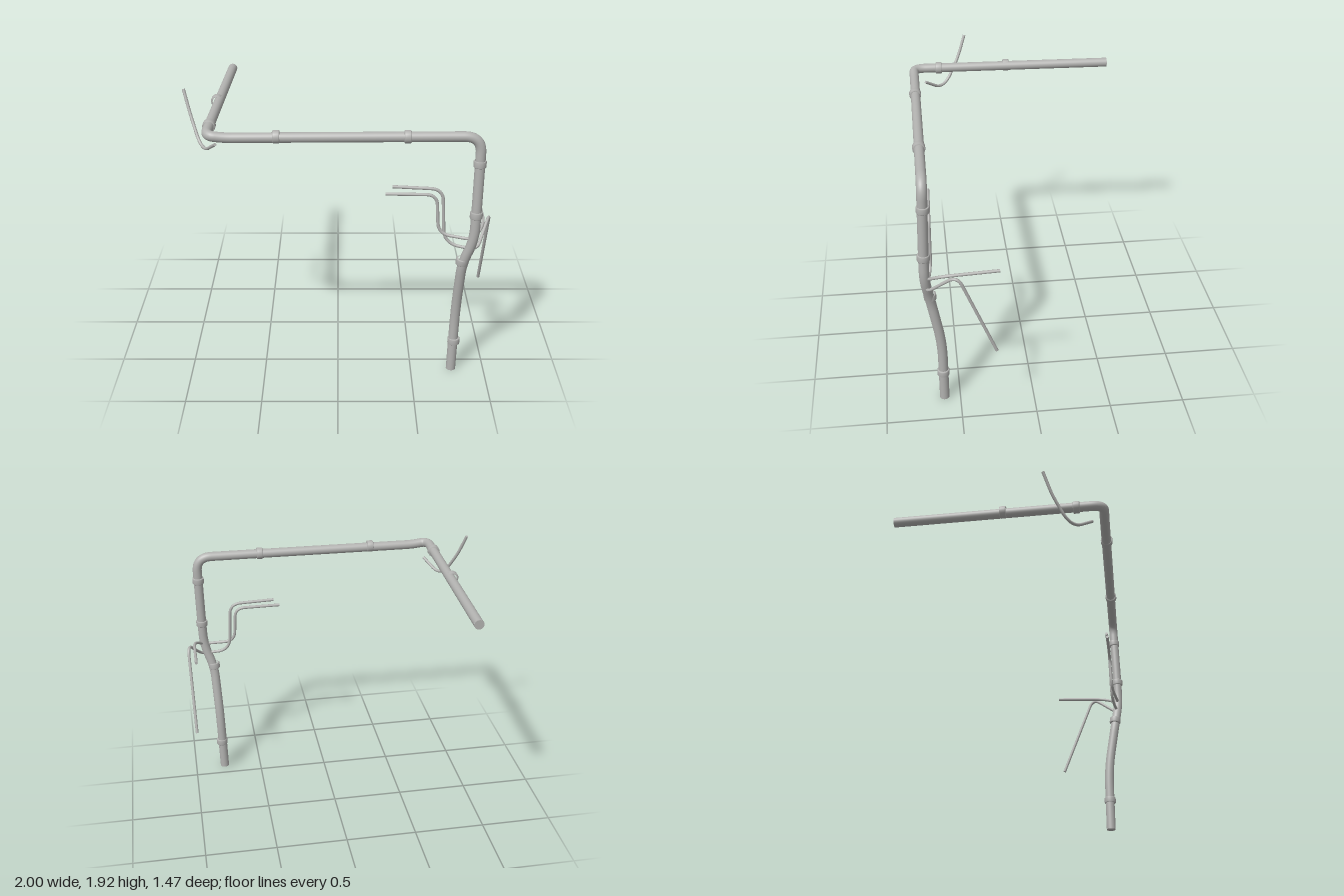
import * as THREE from 'three';

const metal = new THREE.MeshStandardMaterial({ color: 0xb2b2b0 });
metal.name = 'grey metal';

// Polyline [x, y, z, fillet] with rounded corners
function roundedPath(points) {
  const path = new THREE.CurvePath();
  const v = points.map(p => new THREE.Vector3(p[0], p[1], p[2]));
  let last = v[0];
  for (let i = 1; i < v.length - 1; i++) {
    const toward = j => {
      const d = v[j].clone().sub(v[i]);
      return v[i].clone().addScaledVector(d.clone().normalize(), Math.min(points[i][3], d.length() * 0.49));
    };
    const a = toward(i - 1), b = toward(i + 1);
    path.add(new THREE.LineCurve3(last, a));
    path.add(new THREE.QuadraticBezierCurve3(a, v[i], b));
    last = b;
  }
  path.add(new THREE.LineCurve3(last, v[v.length - 1]));
  return path;
}

// Round tube with closed ends
function pipe(name, points, radius, segments, sides) {
  const group = new THREE.Group();
  group.name = name;
  const path = roundedPath(points);
  const tube = new THREE.Mesh(new THREE.TubeGeometry(path, segments, radius, sides), metal);
  tube.name = name + 'Tube';
  group.add(tube);
  for (const [t, sign] of [[0, -1], [1, 1]]) {
    const cap = new THREE.Mesh(new THREE.CircleGeometry(radius, sides), metal);
    cap.name = name + 'Cap';
    cap.position.copy(path.getPointAt(t));
    cap.quaternion.setFromUnitVectors(new THREE.Vector3(0, 0, 1), path.getTangentAt(t).multiplyScalar(sign));
    group.add(cap);
  }
  return group;
}

// Coupling ring with softened rims
const collarGeometry = new THREE.LatheGeometry(
  [[0.028, -0.022], [0.037, -0.022], [0.041, -0.017], [0.041, 0.017], [0.037, 0.022], [0.028, 0.022]]
    .map(p => new THREE.Vector2(...p)), 28);

function collar(position, direction) {
  const mesh = new THREE.Mesh(collarGeometry, metal);
  mesh.name = 'collar';
  mesh.position.set(...position);
  mesh.quaternion.setFromUnitVectors(new THREE.Vector3(0, 1, 0), new THREE.Vector3(...direction).normalize());
  return mesh;
}

export function createModel() {
  const model = new THREE.Group();
  model.name = 'pipework';

  // Main pipe: up the post, across the front, then backwards
  model.add(pipe('mainPipe', [
    [0.778, 0, 0.607],
    [0.79, 0.47, 0.607, 0.14],
    [0.808, 0.85, 0.672, 0.09],
    [0.872, 1.03, 0.7, 0.1],
    [0.877, 1.21, 0.698, 0.08],
    [0.885, 1.736, 0.684, 0.11],
    [-0.7, 1.727, 0.685, 0.05],
    [-0.815, 1.742, 0.687, 0.085],
    [-0.778, 1.741, -0.73]
  ], 0.0325, 420, 24));

  // Collars along the main pipe
  const collars = [
    [[0.788, 0.225, 0.608], [0.02, 1, 0]],
    [[0.807, 0.865, 0.67], [0.08, 1, 0.1]],
    [[0.877, 1.21, 0.698], [0.01, 1, -0.02]],
    [[0.882, 1.555, 0.686], [0.01, 1, -0.03]],
    [[0.43, 1.735, 0.686], [1, 0, 0]],
    [[-0.38, 1.735, 0.687], [1, 0, 0]],
    [[-0.811, 1.741, 0.505], [0.026, 0, -1]],
    [[-0.812, 1.741, -0.005 + 0.02], [0.026, 0, -1]]
  ];
  for (const [position, direction] of collars) model.add(collar(position, direction));

  // Thin branches threaded through the post
  model.add(pipe('upperBranch', [
    [0.302, 1.334, 0.648],
    [0.628, 1.33, 0.652, 0.07],
    [0.645, 1.06, 0.66, 0.08],
    [0.87, 1.036, 0.703, 0.06],
    [0.947, 1.106, 0.6, 0.09],
    [0.949, 1.125, 0.232]
  ], 0.0105, 200, 12));
  model.add(pipe('lowerBranch', [
    [0.345, 1.382, 0.643],
    [0.665, 1.368, 0.65, 0.08],
    [0.685, 0.99, 0.655, 0.1],
    [0.895, 0.96, 0.697, 0.06],
    [0.994, 1.135, 0.5, 0.08],
    [0.981, 0.53, 0.262]
  ], 0.0105, 220, 12));

  // Hooked tail below and beside the far corner
  model.add(pipe('hookedTail', [
    [-0.99, 1.915, 0.302],
    [-0.947, 1.762, 0.355, 0.06],
    [-0.868, 1.552, 0.47, 0.14],
    [-0.767, 1.652, 0.605]
  ], 0.0105, 120, 12));

  return model;
}
